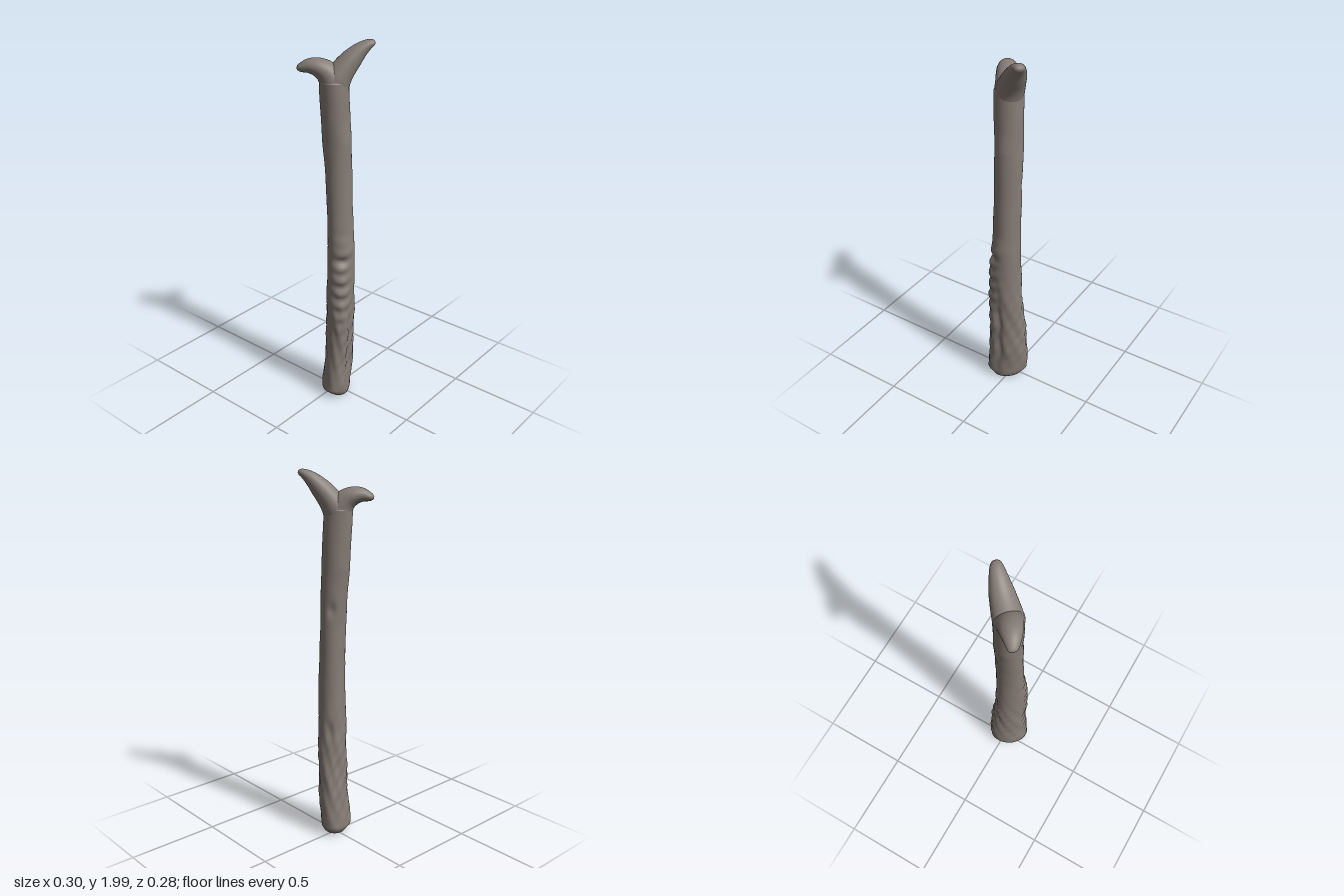
import * as THREE from 'three';

const bone = new THREE.MeshStandardMaterial({ color: 0x867d76 });
bone.name = 'weathered grey brown';

// Skin a stack of closed rings and close both ends
function loft(rings) {
  const n = rings[0].length, pos = [], idx = [];
  rings.forEach(r => r.forEach(p => pos.push(p.x, p.y, p.z)));
  for (let i = 0; i < rings.length - 1; i++) {
    for (let j = 0; j < n; j++) {
      const a = i * n + j, b = i * n + (j + 1) % n;
      idx.push(a, a + n, b, b, a + n, b + n);
    }
  }
  [0, rings.length - 1].forEach((k, end) => {
    const c = rings[k].reduce((s, p) => s.add(p), new THREE.Vector3()).divideScalar(n);
    const ci = pos.length / 3;
    pos.push(c.x, c.y, c.z);
    for (let j = 0; j < n; j++) {
      const a = k * n + j, b = k * n + (j + 1) % n;
      if (end) idx.push(ci, b, a); else idx.push(ci, a, b);
    }
  });
  const g = new THREE.BufferGeometry();
  g.setAttribute('position', new THREE.Float32BufferAttribute(pos, 3));
  g.setIndex(idx);
  g.computeVertexNormals();
  return g;
}

const bump = (v, centre, width) => Math.exp(-(((v - centre) / width) ** 2));
const angleGap = (a, b) => Math.atan2(Math.sin(a - b), Math.cos(a - b));

// Shaft outline: height, min x, max x, min z, max z, diagonal lean of the section
const outline = [
  [0.003, -0.02, 0.075, -0.035, 0.06, 0.2],
  [0.015, -0.05, 0.1, -0.06, 0.09, 0.3],
  [0.045, -0.07, 0.11, -0.083, 0.125, 0.32],
  [0.1, -0.067, 0.112, -0.088, 0.122, 0.32],
  [0.2, -0.057, 0.113, -0.093, 0.11, 0.3],
  [0.4, -0.046, 0.12, -0.083, 0.1, 0.25],
  [0.6, -0.038, 0.123, -0.073, 0.1, 0.18],
  [0.8, -0.031, 0.121, -0.067, 0.095, 0.15],
  [0.92, -0.03, 0.119, -0.064, 0.086, 0.1],
  [1.0, -0.029, 0.107, -0.064, 0.083, 0.06],
  [1.2, -0.035, 0.097, -0.064, 0.08, 0.05],
  [1.4, -0.05, 0.093, -0.063, 0.08, 0.03],
  [1.5, -0.062, 0.092, -0.061, 0.08, 0],
  [1.6, -0.065, 0.083, -0.06, 0.085, 0],
  [1.8, -0.074, 0.076, -0.056, 0.09, 0],
  [1.85, -0.05, 0.055, -0.04, 0.06, -0.2],
  [1.87, -0.02, 0.025, -0.015, 0.03, -0.2],
];

function sectionAt(y) {
  let i = 0;
  while (i < outline.length - 2 && outline[i + 1][0] < y) i++;
  const a = outline[i], b = outline[i + 1];
  const f = (y - a[0]) / (b[0] - a[0]);
  return a.map((v, k) => THREE.MathUtils.lerp(v, b[k], f));
}

// Surface relief: ribs on the front corner, dents and grooves toward the foot
function relief(y, t) {
  const corner = bump(angleGap(t, Math.PI / 4), 0, 0.62);
  const ribs = corner * bump(y, 0.7, 0.2) * Math.sin(y * 84 + 1.5 * Math.sin(t * 2)) * 0.007;
  const notch = -0.016 * corner * bump(y, 0.86, 0.025);
  const groove = -0.018 * bump(angleGap(t, 0), 0, 0.2) * bump(y, 0.33, 0.25);
  const rough = bump(y, 0.35, 0.3) * 0.004 *
    (Math.sin(5 * t + y * 23) * Math.sin(y * 41 + 2 * t) + 0.6 * Math.sin(9 * t - y * 31));
  const backDents = -0.012 * bump(angleGap(t, -2.3), 0, 0.3) *
    (bump(y, 1.29, 0.035) + bump(y, 0.62, 0.05));
  const wobble = 0.002 * Math.sin(3 * t + y * 9) * Math.sin(y * 14);
  return ribs + notch + groove + rough + backDents + wobble;
}

function makeShaft() {
  const heights = [0.003, 0.015, 0.03, 0.045];
  for (let y = 0.06; y < 1.8; y += 0.0125) heights.push(y);
  heights.push(1.8, 1.825, 1.85, 1.87);
  const sides = 48;
  return loft(heights.map(y => {
    const [, x0, x1, z0, z1, lean] = sectionAt(y);
    const fade = THREE.MathUtils.smoothstep(y, 0, 0.1);
    return Array.from({ length: sides }, (_, j) => {
      const t = j / sides * Math.PI * 2;
      const d = relief(y, t) * fade;
      return new THREE.Vector3(
        (x0 + x1) / 2 + ((x1 - x0) / 2 + d) * Math.cos(t - lean / 2), y,
        (z0 + z1) / 2 + ((z1 - z0) / 2 + d) * Math.sin(t + lean / 2));
    });
  }));
}

// Prong stations: distance along the diagonal, height, thickness, half width, sideways shift
const longProng = [
  [-0.012, 1.74, 0.066, 0.066, 0.012], [0.0, 1.8, 0.07, 0.072, 0.012],
  [0.035, 1.855, 0.06, 0.066, 0.008], [0.077, 1.905, 0.051, 0.057, 0.004],
  [0.12, 1.948, 0.037, 0.044, 0.003], [0.158, 1.974, 0.024, 0.032, 0.004],
  [0.18, 1.982, 0.015, 0.022, 0.006], [0.188, 1.984, 0.006, 0.01, 0.006],
];
const shortProng = [
  [-0.012, 1.74, 0.066, 0.066, 0.012], [-0.018, 1.8, 0.068, 0.07, 0.012],
  [-0.05, 1.845, 0.057, 0.063, 0.008], [-0.092, 1.868, 0.046, 0.056, 0.003],
  [-0.13, 1.873, 0.036, 0.045, -0.002], [-0.163, 1.866, 0.025, 0.033, -0.008],
  [-0.182, 1.861, 0.016, 0.023, -0.012], [-0.19, 1.859, 0.006, 0.01, -0.013],
];

function makeProng(stations) {
  const across = new THREE.Vector3(Math.SQRT1_2, 0, Math.SQRT1_2);
  const along = new THREE.Vector3(Math.SQRT1_2, 0, -Math.SQRT1_2);
  const path = new THREE.CatmullRomCurve3(stations.map(([s, y, , , p]) =>
    along.clone().multiplyScalar(s).addScaledVector(across, p).setY(y)));
  const sizes = new THREE.CatmullRomCurve3(stations.map(r => new THREE.Vector3(r[2], r[3], 0)));
  const steps = 28, sides = 32;
  return loft(Array.from({ length: steps + 1 }, (_, i) => {
    const centre = path.getPoint(i / steps), size = sizes.getPoint(i / steps);
    const normal = path.getTangent(i / steps).cross(across).normalize();
    return Array.from({ length: sides }, (_, j) => {
      const t = j / sides * Math.PI * 2;
      return centre.clone().addScaledVector(normal, size.x * Math.cos(t))
        .addScaledVector(across, size.y * Math.sin(t));
    });
  }));
}

export function createModel() {
  const group = new THREE.Group();
  group.name = 'forkedStaff';
  const parts = { shaft: makeShaft(), longProng: makeProng(longProng), shortProng: makeProng(shortProng) };
  for (const [name, geometry] of Object.entries(parts)) {
    const mesh = new THREE.Mesh(geometry, bone);
    mesh.name = name;
    group.add(mesh);
  }
  return group;
}
